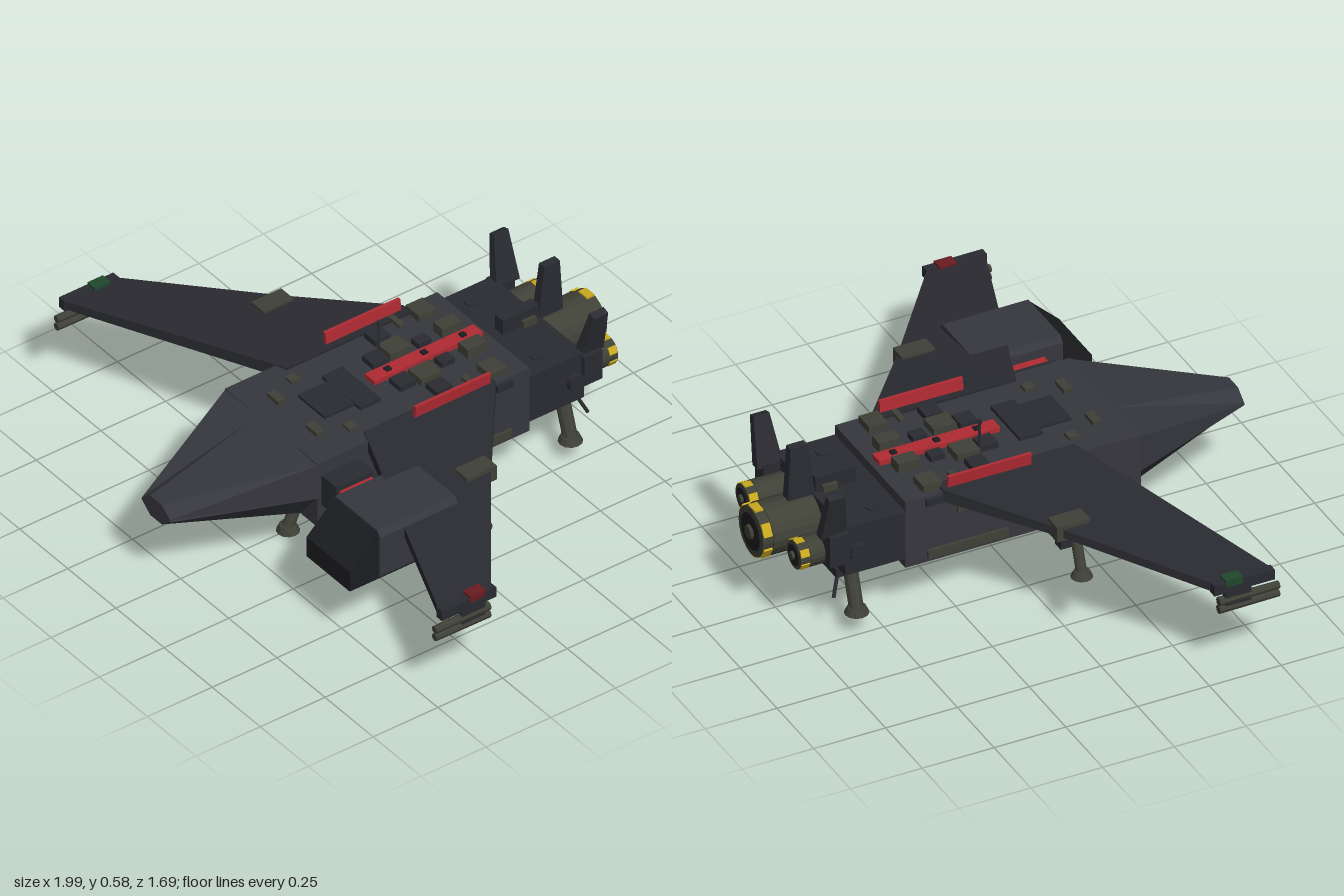
import * as THREE from 'three';

const mat = (color) => new THREE.MeshStandardMaterial({ color, flatShading: true });
const HULL = mat(0x36373e), DARK = mat(0x2a2b31), OLIVE = mat(0x3f4036), BLACK = mat(0x1c1d20);
const RED = mat(0xb02a32), YELLOW = mat(0xc9a91f), GREEN = mat(0x1f4a2c), DEEPRED = mat(0x6a1c20);

export function createModel() {
  const root = new THREE.Group();
  root.name = 'spacecraft';

  const add = (name, geo, m, x = 0, y = 0, z = 0) => {
    const mesh = new THREE.Mesh(geo, m);
    mesh.name = name;
    mesh.position.set(x, y, z);
    root.add(mesh);
    return mesh;
  };
  // Box given by its extents
  const box = (name, m, x0, x1, y0, y1, z0, z1) =>
    add(name, new THREE.BoxGeometry(Math.abs(x1 - x0), y1 - y0, z1 - z0), m, (x0 + x1) / 2, (y0 + y1) / 2, (z0 + z1) / 2);
  // Cylinder along z
  const tubeZ = (name, m, x, y, z0, z1, rBack, rFront = rBack, n = 16) => {
    const c = add(name, new THREE.CylinderGeometry(rFront, rBack, z1 - z0, n), m, x, y, (z0 + z1) / 2);
    c.rotation.x = Math.PI / 2;
    return c;
  };
  // Cylinder between two points
  const rod = (name, m, a, b, r, n = 10) => {
    const p = new THREE.Vector3(...a), q = new THREE.Vector3(...b), d = q.clone().sub(p);
    const c = add(name, new THREE.CylinderGeometry(r, r, d.length(), n), m);
    c.position.copy(p).add(q).multiplyScalar(0.5);
    c.quaternion.setFromUnitVectors(new THREE.Vector3(0, 1, 0), d.normalize());
    return c;
  };
  // Closed solid between two matching rings, turned outward by its signed volume
  const loft = (name, m, A, B) => {
    const V = (p) => new THREE.Vector3(...p), tris = [], n = A.length;
    for (let i = 0; i < n; i++) {
      const j = (i + 1) % n;
      tris.push([A[i], A[j], B[j]], [A[i], B[j], B[i]]);
      if (i > 0 && i < n - 1) tris.push([B[0], B[i], B[i + 1]], [A[0], A[i + 1], A[i]]);
    }
    const o = V(A[0]);
    let vol = 0;
    for (const [a, b, c] of tris) vol += V(a).sub(o).dot(V(b).sub(o).cross(V(c).sub(o)));
    if (vol < 0) tris.forEach((t) => t.reverse());
    const g = new THREE.BufferGeometry();
    g.setAttribute('position', new THREE.Float32BufferAttribute(tris.flat(2), 3));
    g.computeVertexNormals();
    return add(name, g, m);
  };
  // Mirrored ring from its right half, at one z
  const ring = (half, z) => [...half.map(([x, y]) => [x, y, z]), ...half.map(([x, y]) => [-x, y, z]).reverse()];

  // Hull, faceted nose and tail block
  box('fuselage', HULL, -0.24, 0.24, 0.19, 0.435, -0.42, 0.4);
  loft('nose', HULL,
    ring([[0.15, 0.19], [0.24, 0.3], [0.24, 0.43], [0.07, 0.435]], 0.4),
    ring([[0.03, 0.275], [0.075, 0.31], [0.073, 0.318], [0.03, 0.35]], 0.845));
  box('tailBlock', DARK, -0.24, 0.24, 0.225, 0.4, -0.63, -0.42);
  box('tailBellyPlate', DARK, -0.2, 0.2, 0.195, 0.225, -0.64, -0.48);
  box('tailSpine', DARK, -0.02, 0.02, 0.4, 0.455, -0.62, -0.48);
  box('tailSpineBlock', OLIVE, -0.035, 0.035, 0.4, 0.425, -0.6, -0.55);

  // Engine: barrel, yellow segments round the rim, dark nozzle
  const engine = (name, x, r, z0, z1) => {
    tubeZ(name + 'Barrel', OLIVE, x, 0.31, z0 + 0.035, z1, r, r, 20);
    tubeZ(name + 'Rim', OLIVE, x, 0.31, z0, z0 + 0.035, r * 0.96, r * 0.96, 20);
    for (let i = 0; i < 6; i++) {
      const a = (i + 0.5) * Math.PI / 3;
      const s = add(name + 'RimSegment', new THREE.BoxGeometry(r * 0.5, r * 0.14, 0.03), YELLOW,
        x + Math.cos(a) * r * 0.93, 0.31 + Math.sin(a) * r * 0.93, z0 + 0.017);
      s.rotation.z = a + Math.PI / 2;
    }
    tubeZ(name + 'Nozzle', BLACK, x, 0.31, z0 - 0.003, z0 + 0.02, r * 0.72);
    tubeZ(name + 'Cone', OLIVE, x, 0.31, z0 - 0.012, z0 + 0.02, r * 0.25, r * 0.4);
  };
  engine('mainEngine', 0, 0.088, -0.835, -0.62);

  // Centre tail fin
  loft('centreFin', DARK,
    [[-0.018, 0.39, -0.62], [0.018, 0.39, -0.62], [0.018, 0.39, -0.715], [-0.018, 0.39, -0.715]],
    [[-0.014, 0.585, -0.645], [0.014, 0.585, -0.645], [0.014, 0.585, -0.705], [-0.014, 0.585, -0.705]]);

  for (const s of [-1, 1]) {
    // Forward-swept wing
    const plan = [[0.2, 0.19, 0.435], [0.98, 0.48, 0.35], [0.98, 0.28, 0.35], [0.55, -0.04, 0.398], [0.24, -0.29, 0.435], [0.2, -0.29, 0.438]];
    loft('wing', DARK, plan.map(([x, z, y]) => [s * x, y - 0.022 - (x < 0.3 ? 0.015 : 0), z]), plan.map(([x, z, y]) => [s * x, y + 0.008, z]));

    // Wing tip: rail, light and twin guns
    box('tipRail', DARK, s * 0.965, s * 0.995, 0.325, 0.362, 0.27, 0.48);
    box('tipLight', s > 0 ? DEEPRED : GREEN, s * 0.955, s * 0.995, 0.345, 0.37, 0.31, 0.37);
    box('gunMount', DARK, s * 0.972, s * 0.992, 0.26, 0.33, 0.31, 0.4);
    for (const y of [0.263, 0.292]) tubeZ('tipGun', OLIVE, s * 0.982, y, 0.29, 0.5, 0.015, 0.013, 8);

    // Wing root fence
    loft('wingFence', RED,
      [[s * 0.224, 0.435, 0.02], [s * 0.236, 0.435, 0.02], [s * 0.236, 0.435, -0.27], [s * 0.224, 0.435, -0.27]],
      [[s * 0.229, 0.483, 0.02], [s * 0.241, 0.483, 0.02], [s * 0.241, 0.483, -0.27], [s * 0.229, 0.483, -0.27]]);

    // Side engine and outward-leaning fin on its bracket
    engine('sideEngine', s * 0.175, 0.05, -0.775, -0.62);
    box('finBracket', DARK, s * 0.2, s * 0.255, 0.28, 0.39, -0.69, -0.62);
    loft('sideFin', DARK,
      [[s * 0.2, 0.38, -0.62], [s * 0.235, 0.38, -0.62], [s * 0.235, 0.38, -0.71], [s * 0.2, 0.38, -0.71]],
      [[s * 0.247, 0.55, -0.645], [s * 0.272, 0.542, -0.645], [s * 0.272, 0.542, -0.7], [s * 0.247, 0.55, -0.7]]);
    rod('tailKnob', DARK, [s * 0.23, 0.31, -0.59], [s * 0.262, 0.31, -0.59], 0.03);
    rod('tailHatch', DARK, [s * 0.17, 0.4, -0.5], [s * 0.17, 0.406, -0.5], 0.022, 12);

    // Wing landing leg
    box('wingLegHousing', OLIVE, s * 0.495, s * 0.56, 0.365, 0.42, -0.055, 0.06);
    box('wingLegBay', DARK, s * 0.495, s * 0.535, 0.315, 0.375, -0.03, 0.04);
    rod('wingLeg', OLIVE, [s * 0.53, 0.38, 0.02], [s * 0.58, 0.24, 0.02], 0.018);
    add('wingFoot', new THREE.CylinderGeometry(0.025, 0.036, 0.022, 12), OLIVE, s * 0.58, 0.24, 0.02);

    // Rear landing leg
    rod('rearLeg', OLIVE, [s * 0.18, 0.23, -0.585], [s * 0.23, 0.08, -0.585], 0.024);
    rod('rearLegCollar', YELLOW, [s * 0.184, 0.218, -0.585], [s * 0.188, 0.206, -0.585], 0.027);
    rod('rearBrace', DARK, [s * 0.19, 0.21, -0.63], [s * 0.22, 0.14, -0.66], 0.006, 6);
    add('rearFoot', new THREE.CylinderGeometry(0.03, 0.04, 0.022, 12), OLIVE, s * 0.23, 0.081, -0.585);

    // Roof equipment: x, z, width, depth, height
    for (const [x, z, w, d, h, m] of [
      [0.185, -0.315, 0.07, 0.065, 0.025, OLIVE], [0.065, -0.33, 0.05, 0.075, 0.035, OLIVE], [0.19, -0.225, 0.06, 0.02, 0.012, OLIVE],
      [0.16, -0.13, 0.06, 0.06, 0.02, DARK], [0.08, -0.135, 0.07, 0.08, 0.025, OLIVE], [0.06, -0.225, 0.04, 0.05, 0.02, DARK],
      [0.07, -0.055, 0.06, 0.06, 0.02, DARK], [0.15, 0.205, 0.035, 0.035, 0.01, OLIVE], [0.1, 0.305, 0.06, 0.03, 0.015, OLIVE]])
      box('roofUnit', m, s * (x - w / 2), s * (x + w / 2), 0.43, 0.435 + h, z - d / 2, z + d / 2);

    // Hull side fittings
    box('sideRail', OLIVE, s * 0.235, s * 0.25, 0.205, 0.235, -0.345, -0.065);
    box('sidePanel', DARK, s * 0.235, s * 0.25, 0.4, 0.425, -0.35, -0.29);
    for (const z of [-0.24, -0.15]) box('sideVent', OLIVE, s * 0.235, s * 0.246, 0.345, 0.37, z, z + 0.05);
    rod('sidePort', DARK, [s * 0.23, 0.265, 0.165], [s * 0.252, 0.265, 0.165], 0.03, 12);
    for (const z of [-0.06, 0.01, 0.08]) box('bellyVent', BLACK, s * 0.01, s * 0.09, 0.175, 0.195, z, z + 0.045);
  }

  // Roof centre: red spine with studs, hatch, aerial
  box('redSpine', RED, -0.025, 0.025, 0.43, 0.452, -0.4, 0.02);
  for (const z of [-0.34, -0.19, -0.05]) box('spineStud', BLACK, -0.01, 0.01, 0.45, 0.458, z - 0.01, z + 0.01);
  box('roofHatch', DARK, -0.1, 0.1, 0.43, 0.447, 0.05, 0.13);
  box('roofHatchFront', DARK, -0.07, 0.07, 0.43, 0.445, 0.13, 0.245);
  rod('aerial', DARK, [-0.1, 0.44, -0.09], [-0.1, 0.56, -0.09], 0.005, 6);
  rod('aerialTip', DARK, [-0.1, 0.545, -0.09], [-0.1, 0.56, -0.09], 0.008, 6);

  // Nose landing leg
  rod('noseLeg', OLIVE, [0, 0.2, 0.25], [0, 0.015, 0.335], 0.02);
  rod('noseLegCollar', YELLOW, [0, 0.18, 0.259], [0, 0.168, 0.264], 0.024);
  box('noseLegBay', DARK, -0.035, 0.035, 0.175, 0.195, 0.21, 0.3);
  rod('noseBrace', DARK, [0, 0.18, 0.225], [0, 0.09, 0.185], 0.006, 6);
  add('noseFoot', new THREE.CylinderGeometry(0.028, 0.038, 0.024, 12), OLIVE, 0, 0.012, 0.335);

  // Offset cabin on a side passage
  const cabin = [[0.385, 0.23], [0.605, 0.23], [0.62, 0.25], [0.62, 0.4], [0.605, 0.42], [0.385, 0.42], [0.37, 0.4], [0.37, 0.25]];
  const cabinRing = (z) => cabin.map(([x, y]) => [x, y, z]);
  loft('sideCabin', HULL, cabinRing(0.14), cabinRing(0.44));
  loft('cabinWindow', BLACK,
    [[0.385, 0.235, 0.44], [0.61, 0.235, 0.44], [0.61, 0.415, 0.44], [0.385, 0.415, 0.44]],
    [[0.385, 0.235, 0.55], [0.61, 0.235, 0.55], [0.61, 0.31, 0.55], [0.385, 0.31, 0.55]]);
  box('cabinKeel', OLIVE, 0.42, 0.57, 0.217, 0.235, 0.2, 0.42);
  box('cabinPassage', DARK, 0.23, 0.32, 0.27, 0.385, 0.24, 0.385);
  box('passageCollar', HULL, 0.31, 0.38, 0.28, 0.36, 0.255, 0.36);
  box('passageStripe', RED, 0.32, 0.372, 0.35, 0.368, 0.25, 0.375);

  return root;
}
